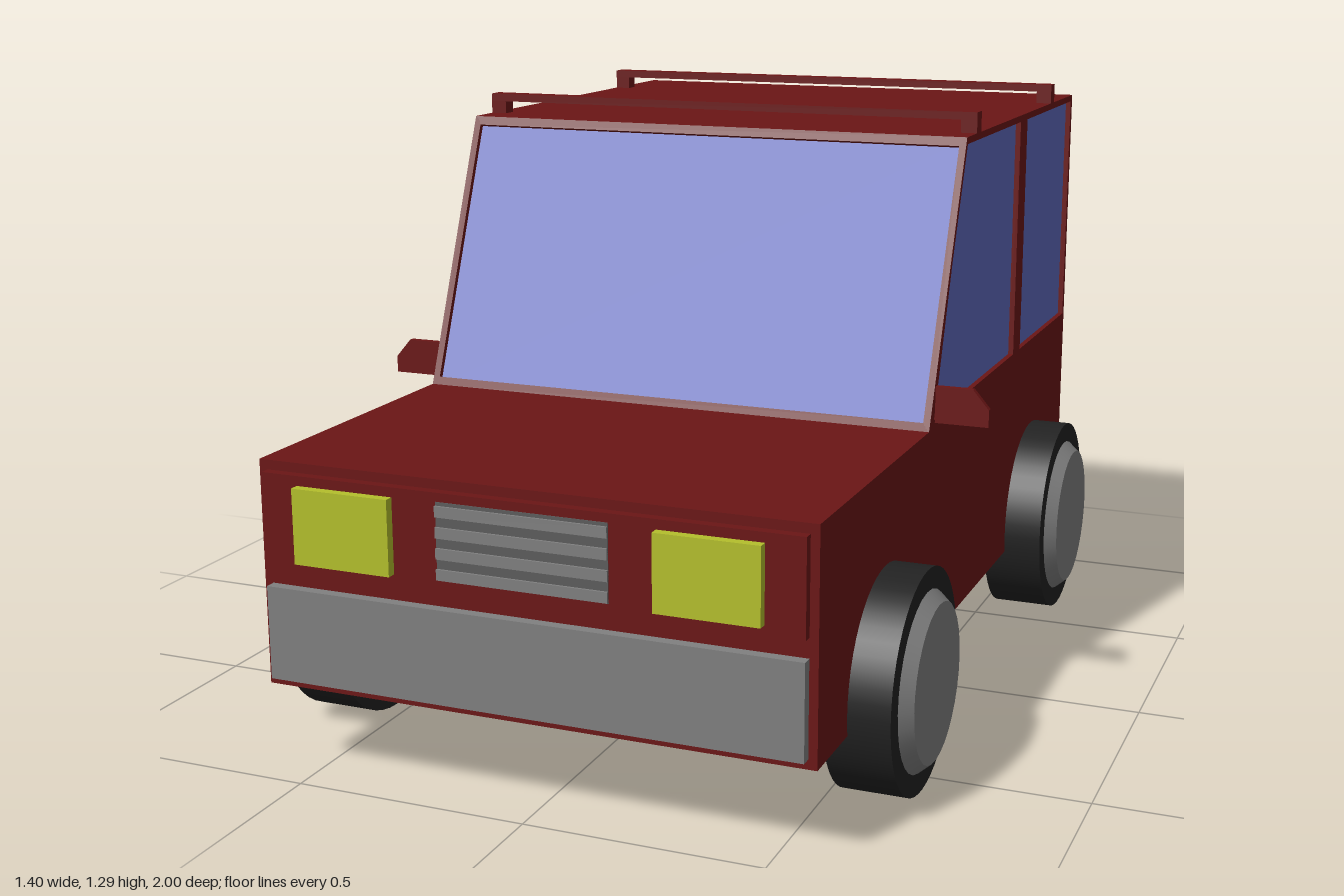
import * as THREE from 'three';

const mat = (color) => new THREE.MeshStandardMaterial({ color });

export function createModel() {
  const car = new THREE.Group();
  car.name = 'boxyCar';
  const red = mat(0x6b1616), blue = mat(0x5f6abf), yellow = mat(0xb4bf2c);
  const grey = mat(0x808080), darkGrey = mat(0x5c5c5c), black = mat(0x222222);

  const add = (name, geo, material, parent = car) => {
    const mesh = new THREE.Mesh(geo, material);
    mesh.name = name;
    parent.add(mesh);
    return mesh;
  };
  // Box given by its limits on each axis
  const box = (name, [x0, x1], [y0, y1], [z0, z1], material, parent) => {
    const geo = new THREE.BoxGeometry(x1 - x0, y1 - y0, z1 - z0);
    geo.translate((x0 + x1) / 2, (y0 + y1) / 2, (z0 + z1) / 2);
    return add(name, geo, material, parent);
  };
  const path = (pts) => pts.map(([a, b]) => new THREE.Vector2(a, b));
  const plate = (outline, holes, depth) => {
    const shape = new THREE.Shape(path(outline));
    holes.forEach((h) => shape.holes.push(new THREE.Path(path(h))));
    return new THREE.ExtrudeGeometry(shape, { depth, bevelEnabled: false });
  };
  // Outline in (z, y), spread over x0..x1
  const sidePlate = (outline, holes, x0, x1) =>
    plate(outline, holes, x1 - x0).rotateY(-Math.PI / 2).translate(x1, 0, 0);
  const rect = (a0, a1, b0, b1) => [[a0, b0], [a1, b0], [a1, b1], [a0, b1]];

  const W = 0.585, sill = 0.66, top = 1.245, skin = 0.012;

  // Lower body and roof
  box('lowerBody', [-W, W], [0.19, sill], [-1, 0.96], red);
  box('roof', [-W, W], [top - skin, top], [-1, 0.03], red);

  // Glass cabin core, seen through the frames
  add('windowGlass', sidePlate(
    [[0.255, sill - 0.005], [0.02, top - 0.01], [-1 + skin, top - 0.01], [-1 + skin, sill - 0.005]],
    [], -W + skin, W - skin), blue);

  // Side frames with two windows each
  const cabin = [[0.27, sill], [0.03, top], [-1, top], [-1, sill]];
  const frontWindow = [[0.235, 0.677], [0.035, 1.23], [-0.45, 1.23], [-0.45, 0.677]];
  const rearWindow = rect(-0.985, -0.515, 0.677, 1.23);
  for (const [name, x0, x1] of [['leftSideFrame', W - skin, W], ['rightSideFrame', -W, -W + skin]])
    add(name, sidePlate(cabin, [frontWindow, rearWindow], x0, x1), red);

  // Sloping windscreen frame and upright rear frame
  const slope = Math.hypot(0.24, top - sill);
  const screen = add('windscreenFrame', plate(rect(-W, W, 0, slope),
    [rect(-0.57, 0.57, 0.018, slope - 0.02)], skin).translate(0, 0, -skin), red);
  screen.position.set(0, sill, 0.27);
  screen.rotation.x = -Math.atan2(0.24, top - sill);
  const rear = add('rearWindowFrame', plate(rect(-W, W, sill, top),
    [rect(-0.57, 0.57, 0.677, 1.23)], skin), red);
  rear.position.z = -1;

  // Nose: panel, bumper, grille, headlights
  box('nosePanel', [-0.567, 0.567], [0.445, 0.64], [0.955, 0.98], red);
  box('bumper', [-0.567, 0.567], [0.21, 0.405], [0.955, 0.983], grey);
  const grille = new THREE.Group();
  grille.name = 'grille';
  car.add(grille);
  box('grilleBack', [-0.18, 0.18], [0.465, 0.622], [0.97, 0.982], darkGrey, grille);
  for (let i = 0; i < 4; i++) {
    const y = 0.467 + i * 0.042;
    box('grilleSlat', [-0.18, 0.18], [y, y + 0.022], [0.97, 0.987], grey, grille);
  }
  for (const s of [-1, 1]) {
    const x = s * 0.382;
    box('headlight', [x - 0.106, x + 0.106], [0.465, 0.62], [0.97, 1], yellow);
  }

  // Roof bars on short feet
  for (const z of [-0.068, -0.773]) {
    const bar = new THREE.Group();
    bar.name = 'roofBar';
    car.add(bar);
    const zs = [z - 0.018, z + 0.018];
    box('crossBar', [-W, W], [1.273, 1.29], zs, red, bar);
    for (const x of [-W, W - 0.036]) box('barFoot', [x, x + 0.036], [top, 1.28], zs, red, bar);
  }

  // Door mirrors
  for (const s of [-1, 1]) {
    const pts = [[0.58, 0.67], [0.7, 0.67], [0.7, 0.707], [0.665, 0.748], [0.58, 0.748]];
    const geo = plate(pts.map(([x, y]) => [s * x, y]), [], 0.014);
    add('doorMirror', geo, red).position.z = 0.214;
  }

  // Wheels: tyre with a chamfered hub cap
  const tyreGeo = new THREE.CylinderGeometry(0.23, 0.23, 0.136, 48).rotateZ(-Math.PI / 2);
  const hubGeo = new THREE.CylinderGeometry(0.163, 0.185, 0.026, 32).rotateZ(-Math.PI / 2);
  for (const s of [-1, 1]) for (const z of [0.56, -0.657]) {
    const wheel = new THREE.Group();
    wheel.name = (z > 0 ? 'front' : 'rear') + (s > 0 ? 'Left' : 'Right') + 'Wheel';
    wheel.position.set(s * 0.603, 0.23, z);
    if (s < 0) wheel.rotation.y = Math.PI;
    add('tyre', tyreGeo, black, wheel);
    add('hubCap', hubGeo, grey, wheel).position.x = 0.081;
    car.add(wheel);
  }
  return car;
}
